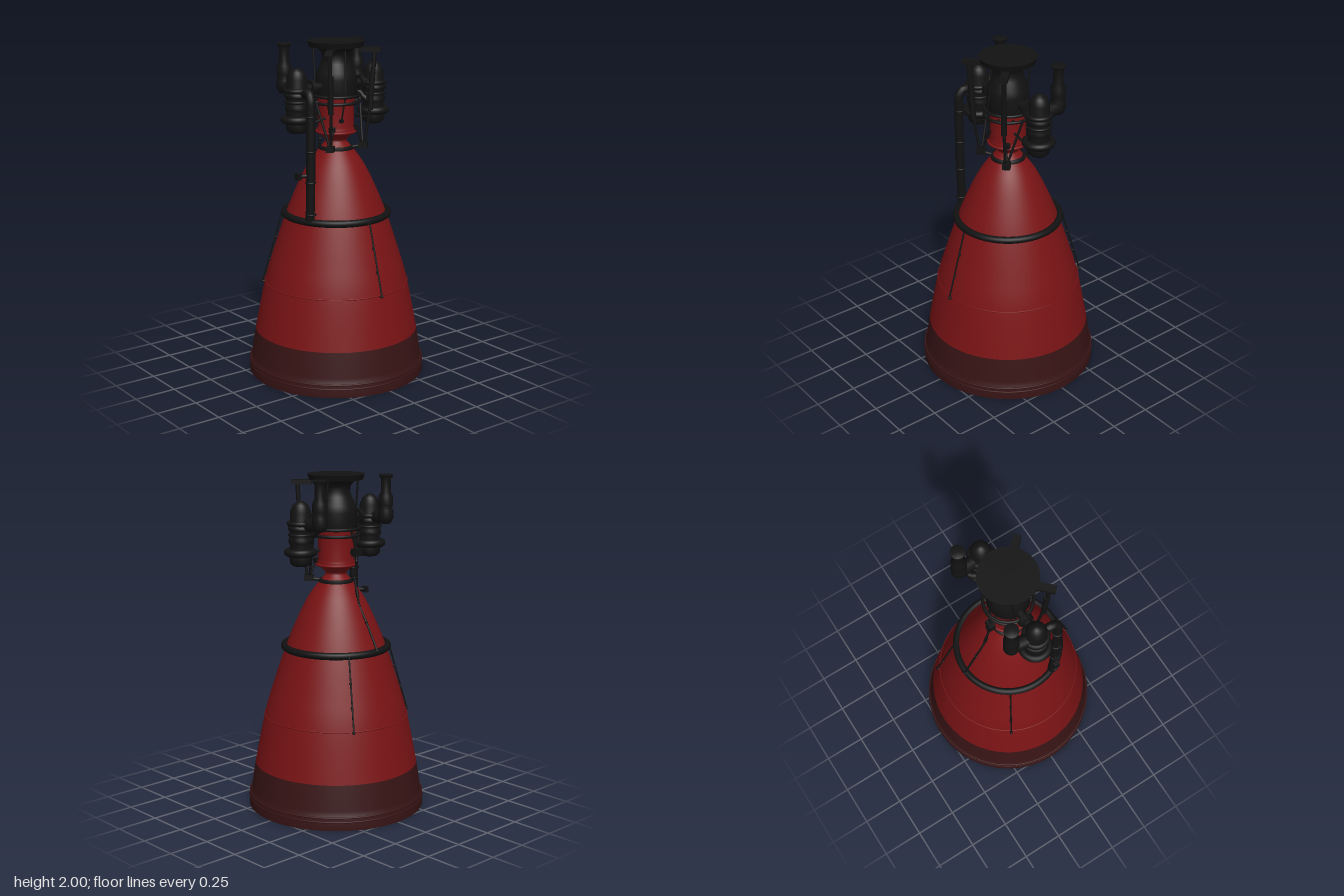
import * as THREE from 'three';

const mat = (name, color, side = THREE.FrontSide) => {
  const m = new THREE.MeshStandardMaterial({ color, side });
  m.name = name;
  return m;
};

export function createModel() {
  const root = new THREE.Group();
  root.name = 'rocketEngine';
  const red = mat('deepRed', 0x7a1315, THREE.DoubleSide);
  const band = mat('scorchedRed', 0x381415);
  const black = mat('black', 0x121212, THREE.DoubleSide);
  const V = (p) => new THREE.Vector3(...p);

  const add = (name, geo, m, pos = [0, 0, 0], parent = root) => {
    const mesh = new THREE.Mesh(geo, m);
    mesh.name = name;
    mesh.position.set(...pos);
    parent.add(mesh);
    return mesh;
  };
  // Lathe with crisp corners: each segment is its own strip when sharp
  const lathe = (name, pts, m, pos, parent, seg = 32) =>
    add(name, new THREE.LatheGeometry(pts.map(p => new THREE.Vector2(...p)), seg), m, pos, parent);
  const ring = (name, R, r, pos, parent, m = black, seg = 48) => {
    const g = new THREE.TorusGeometry(R, r, 10, seg).rotateX(Math.PI / 2);
    return add(name, g, m, pos, parent);
  };
  const rod = (name, a, b, r, parent, r2 = r) => {
    const A = V(a), B = V(b), d = B.clone().sub(A);
    const mesh = add(name, new THREE.CylinderGeometry(r2, r, d.length(), 12), black,
      A.clone().add(B).multiplyScalar(0.5).toArray(), parent);
    mesh.quaternion.setFromUnitVectors(new THREE.Vector3(0, 1, 0), d.normalize());
    return mesh;
  };
  const tube = (name, pts, r, parent) =>
    add(name, new THREE.TubeGeometry(new THREE.CatmullRomCurve3(pts.map(V), false, 'centripetal'), 40, r, 14), black, [0, 0, 0], parent);
  const box = (name, s, pos, parent, ry = 0) => {
    const b = add(name, new THREE.BoxGeometry(...s), black, pos, parent);
    b.rotation.y = ry;
    return b;
  };

  // Nozzle bell: a smooth curve, dark band outside at the bottom, red liner inside
  const bell = new THREE.SplineCurve([[0.49, 0.26], [0.43, 0.56], [0.375, 0.75], [0.298, 0.98], [0.228, 1.15],
    [0.162, 1.28], [0.09, 1.38]].map(p => new THREE.Vector2(...p))).getPoints(36);
  add('nozzleBell', new THREE.LatheGeometry(bell, 96), red);
  lathe('nozzleLiner', [[0.522, 0.001], [0.505, 0.1], [0.484, 0.262]], red, undefined, root, 96);
  lathe('nozzleBand', [[0.523, 0], [0.53, 0], [0.527, 0.075], [0.518, 0.08], [0.513, 0.11], [0.503, 0.18], [0.49, 0.261]],
    band, undefined, root, 96);
  [[0.526, 0.05], [0.524, 0.075]].forEach(([r, y]) => ring('bandSeam', r, 0.005, [0, y, 0], root, band, 96));
  ring('nozzleSeam', 0.43, 0.004, [0, 0.56, 0], root, red, 96);

  // Throat and combustion chamber
  lathe('throat', [[0.09, 1.38], [0.062, 1.41], [0.066, 1.425], [0.1, 1.46]], red, undefined, root, 48);
  lathe('chamber', [[0.1, 1.46], [0.112, 1.47], [0.112, 1.49], [0.105, 1.5], [0.105, 1.63], [0.115, 1.69]], red, undefined, root, 48);
  lathe('throatCollar', [[0.085, 1.355], [0.103, 1.36], [0.099, 1.382], [0.07, 1.386]], black, undefined, root, 48);
  ring('chamberRing', 0.113, 0.009, [0, 1.47, 0], root, red);

  // Injector dome, neck and mounting plate
  lathe('injectorDome', [[0.105, 1.675], [0.122, 1.68], [0.122, 1.78], [0.115, 1.82], [0.092, 1.87], [0.082, 1.9],
    [0.085, 1.93], [0.105, 1.955], [0.13, 1.968]], black, undefined, root, 48);
  add('mountingPlate', new THREE.CylinderGeometry(0.168, 0.158, 0.032, 64), black, [0, 1.984, 0]);
  [[1.645, 0.138], [1.685, 0.14]].forEach(([y, r]) => ring('chamberHoop', r, 0.009, [0, y, 0]));
  for (let i = 0; i < 8; i++) {
    const a = (i + 0.5) * Math.PI / 4;
    rod('hoopLug', [0.1 * Math.cos(a), 1.645, 0.1 * Math.sin(a)], [0.14 * Math.cos(a), 1.645, 0.14 * Math.sin(a)], 0.006);
  }

  // Cooling manifold around the bell
  ring('manifold', 0.309, 0.021, [0, 0.98, 0], root, black, 96);

  // Thin feed lines running down the bell
  for (const a of [Math.PI / 2, Math.PI * 7 / 6, -Math.PI / 3]) {
    const at = (r, y) => [r * Math.cos(a), y, r * Math.sin(a)];
    const line = new THREE.Group();
    line.name = 'bellLine';
    root.add(line);
    rod('line', at(0.325, 0.98), at(0.447, 0.555), 0.005, line);
    [[0.363, 0.83], [0.403, 0.695], [0.446, 0.558]].forEach(([r, y]) =>
      add('lineJoint', new THREE.SphereGeometry(0.009, 10, 8), black, at(r, y), line));
    rod('lineFoot', at(0.425, 0.557), at(0.448, 0.557), 0.007, line);
  }

  // Turbopumps, mirrored on both sides
  for (const s of [1, -1]) {
    const pump = new THREE.Group();
    pump.name = s > 0 ? 'leftTurbopump' : 'rightTurbopump';
    root.add(pump);
    const x = s * 0.278;
    lathe('pumpBody', [[0, 1.49], [0.045, 1.49], [0.062, 1.505], [0.066, 1.54], [0.06, 1.61], [0.07, 1.625], [0.07, 1.645],
      [0.064, 1.655], [0.064, 1.69], [0.073, 1.7], [0.073, 1.715], [0.06, 1.73], [0.06, 1.8], [0.045, 1.84], [0.02, 1.86], [0, 1.862]],
      black, [x, 0, 0], pump);
    ring('volute', 0.074, 0.023, [x, 1.568, 0], pump);
    ring('pumpFlange', 0.066, 0.014, [x, 1.735, 0], pump);
    ring('pumpHoop', 0.066, 0.008, [x, 1.67, 0], pump);
    // Inlet pipe behind the pump, with flange
    lathe('inletPipe', [[0, 1.695], [0.03, 1.7], [0.045, 1.73], [0.045, 1.78], [0.037, 1.79], [0.043, 1.81], [0.043, 1.86],
      [0.029, 1.885], [0.029, 1.965], [0.041, 1.977], [0.041, 1.99], [0, 1.99]], black, [s * 0.264, 0, -0.148], pump);
    rod('inletElbow', [s * 0.264, 1.74, -0.15], [x, 1.72, 0], 0.04, pump);
    // Mount to the dome and lower brace
    rod('pumpMount', [s * 0.1, 1.74, 0], [x, 1.74, 0], 0.026, pump);
    rod('pumpMountCollar', [s * 0.165, 1.74, 0], [s * 0.19, 1.74, 0], 0.045, pump);
    rod('pumpBrace', [s * 0.1, 1.5 + 0.06, 0.03], [s * 0.22, 1.53, 0.03], 0.008, pump);

    // Steering actuator on the front corner
    const act = new THREE.Group();
    act.name = 'actuator';
    root.add(act);
    box('topBracket', [0.045, 0.025, 0.12], [s * 0.145, 1.952, 0.138], act, s * Math.PI / 4);
    rod('upperRod', [s * 0.163, 1.95, 0.155], [s * 0.15, 1.72, 0.15], 0.013, act);
    rod('cylinder', [s * 0.152, 1.82, 0.15], [s * 0.143, 1.6, 0.142], 0.017, act);
    rod('lowerRod', [s * 0.143, 1.62, 0.142], [s * 0.122, 1.39, 0.115], 0.009, act);
    box('bottomBracket', [0.045, 0.032, 0.055], [s * 0.12, 1.388, 0.105], act, s * Math.PI / 4);
    rod('bottomArm', [s * 0.055, 1.372, 0.055], [s * 0.12, 1.385, 0.105], 0.01, act);
    // Diagonal braces to the chamber
    rod('brace', [s * 0.16, 1.66, 0.02], [s * 0.12, 1.395, 0.1], 0.007, act);
    rod('brace', [s * 0.12, 1.395, 0.1], [s * 0.075, 1.51, 0.08], 0.007, act);
    box('braceFoot', [0.03, 0.03, 0.03], [s * 0.085, 1.49, 0.075], act);
    rod('domeStrut', [s * 0.12, 1.965, -0.06], [s * 0.125, 1.68, -0.03], 0.006, act);
  }
  // Outlet bulge on the left pump
  tube('leftOutlet', [[0.22, 1.71, -0.11], [0.2, 1.69, -0.06], [0.22, 1.64, 0], [0.26, 1.6, 0.03]], 0.02);

  // Long discharge duct from the right pump down to the manifold
  const duct = new THREE.Group();
  duct.name = 'dischargeDuct';
  root.add(duct);
  tube('ductPipe', [[-0.275, 1.69, 0.02], [-0.275, 1.725, 0.075], [-0.277, 1.73, 0.11], [-0.281, 1.7, 0.138], [-0.284, 1.62, 0.142],
    [-0.284, 1.3, 0.14], [-0.284, 1.1, 0.135], [-0.283, 0.99, 0.128]], 0.026, duct);
  [1.6, 1.4, 1.22, 1.03].forEach(y => ring('ductCollar', 0.026, 0.006, [-0.284, y, 0.139], duct, black, 24));
  rod('valveStem', [-0.284, 1.26, 0.138], [-0.345, 1.258, 0.108], 0.011, duct);
  box('valveHead', [0.026, 0.036, 0.036], [-0.347, 1.258, 0.106], duct);

  // Rear drain line with its control box
  const drain = new THREE.Group();
  drain.name = 'rearLine';
  root.add(drain);
  box('controlBox', [0.055, 0.045, 0.035], [-0.035, 1.55, -0.138], drain);
  rod('boxMount', [-0.02, 1.55, -0.09], [-0.035, 1.55, -0.13], 0.012, drain);
  rod('boxFeed', [0, 1.7, -0.12], [-0.035, 1.56, -0.138], 0.008, drain);
  const path = [[-0.03, 1.54, -0.148], [-0.02, 1.5, -0.152], [-0.015, 1.4, -0.14], [-0.018, 1.24, -0.18], [-0.022, 1.15, -0.235], [-0.027, 0.99, -0.322]];
  path.slice(1).forEach((p, i) => {
    rod('linePipe', path[i], p, 0.0065, drain);
    add('lineJoint', new THREE.SphereGeometry(0.01, 10, 8), black, p, drain);
  });
  rod('lineSleeve', [-0.018, 1.33, -0.157], [-0.018, 1.29, -0.167], 0.01, drain);

  // Thin igniter line on the front of the dome
  rod('igniterLine', [-0.012, 1.95, 0.105], [-0.025, 1.7, 0.128], 0.005);
  rod('igniterLine', [-0.025, 1.7, 0.128], [-0.04, 1.55, 0.108], 0.005);
  box('igniterBlock', [0.02, 0.02, 0.02], [-0.04, 1.545, 0.108]);

  return root;
}
